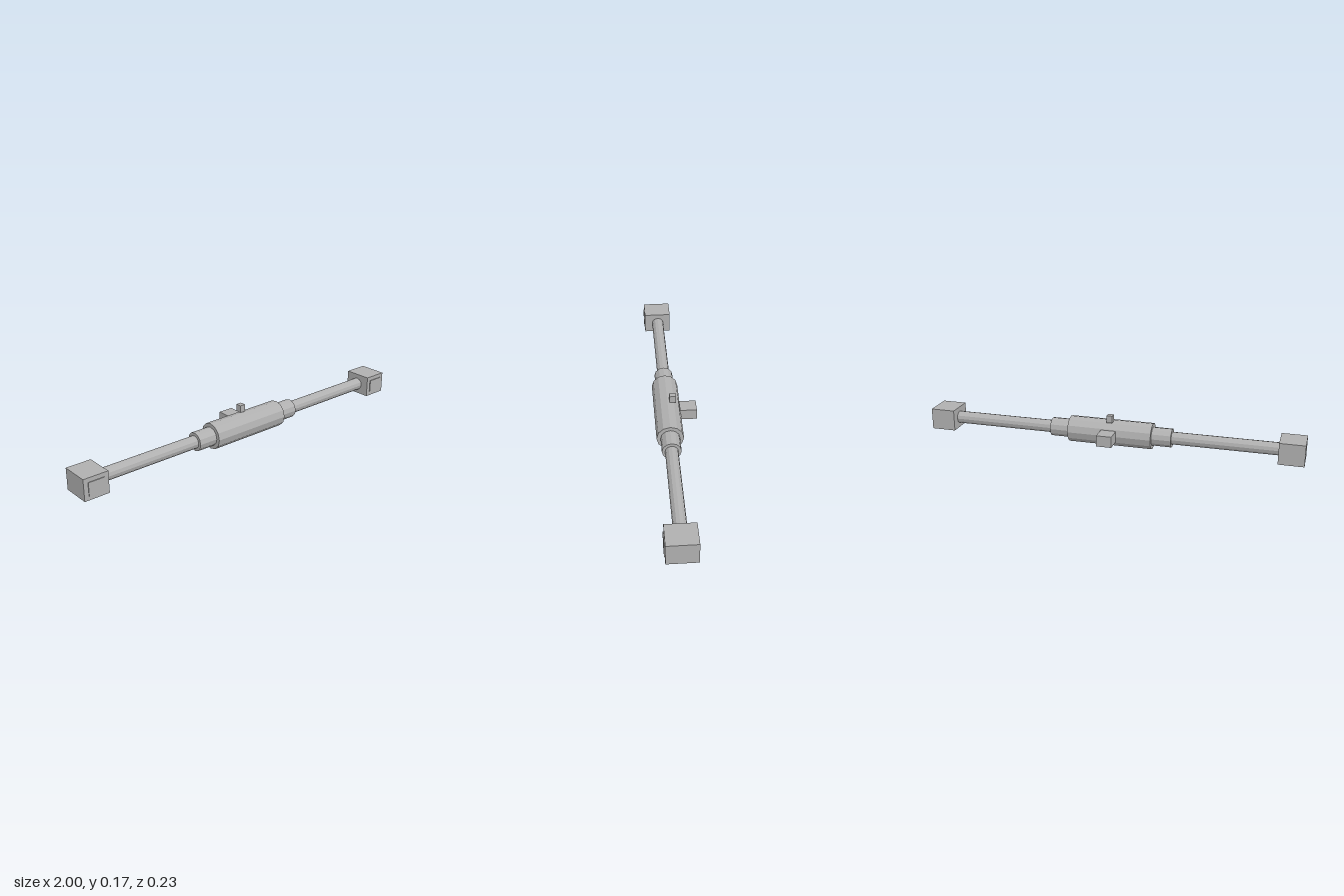
import * as THREE from 'three';

export function createModel() {
  const model = new THREE.Group();
  const grey = new THREE.MeshStandardMaterial({ color: 0xb0b0b0, flatShading: true });
  grey.name = 'grey';

  const AXIS_Y = 0.071, AXIS_Z = 0.036; // centre line of the bar

  const add = (name, geometry, x, y, z) => {
    const mesh = new THREE.Mesh(geometry, grey);
    mesh.name = name;
    mesh.position.set(x, y, z);
    model.add(mesh);
  };
  // twelve-sided cylinder lying along x
  const tube = (name, radius, x0, x1) => {
    const geometry = new THREE.CylinderGeometry(radius, radius, x1 - x0, 12).rotateZ(Math.PI / 2);
    add(name, geometry, (x0 + x1) / 2, AXIS_Y, AXIS_Z);
  };
  // box given by its min and max corners
  const box = (name, x0, x1, y0, y1, z0, z1) =>
    add(name, new THREE.BoxGeometry(x1 - x0, y1 - y0, z1 - z0),
      (x0 + x1) / 2, (y0 + y1) / 2, (z0 + z1) / 2);

  // central body
  tube('body', 0.069, -0.223, 0.223);

  // collar, rod, end block and front plate on each side
  for (const [side, s] of [['left', 1], ['right', -1]]) {
    const span = (a, b) => (s > 0 ? [a, b] : [-b, -a]);
    tube(side + 'Collar', 0.049, ...span(0.22, 0.325));
    tube(side + 'Rod', 0.033, ...span(0.32, 0.88));
    box(side + 'EndBlock', ...span(0.87, 1), 0.016, 0.128, -0.037, 0.112);
    box(side + 'FrontPlate', ...span(0.893, 0.977), 0.037, 0.106, 0.108, 0.116);
  }

  // mount block behind the body and small stud on top
  box('rearMount', -0.04, 0.04, 0.043, 0.101, -0.115, -0.028);
  box('topStud', -0.015, 0.015, 0.136, 0.174, -0.007, 0.025);

  return model;
}
